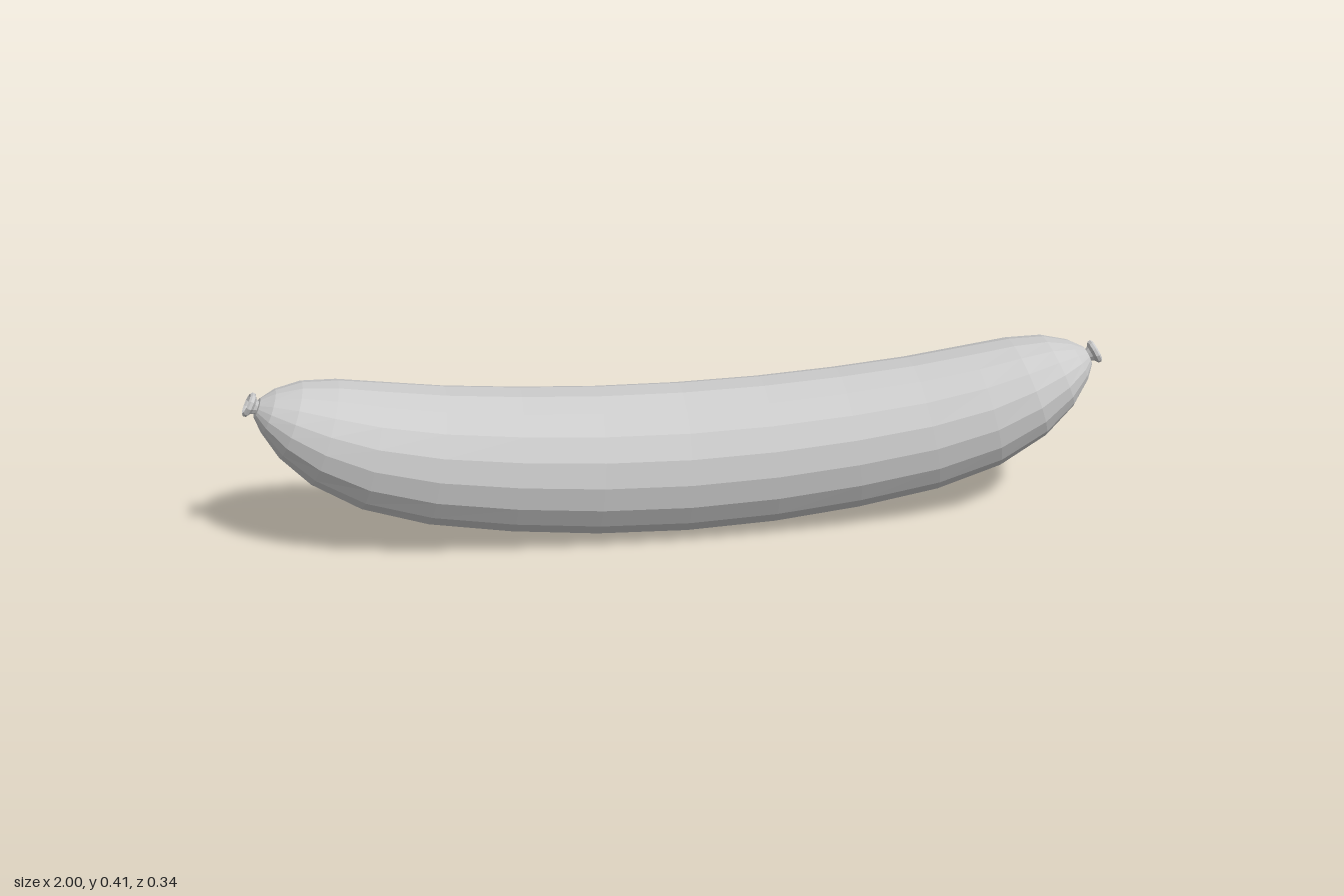
import * as THREE from 'three';

const SIDES = 18;

// Half of the casing, middle to tip: top x, top y, bottom x, bottom y, z centre, z radius
const HALF = [
  [0, 0.346, 0, 0.002, -0.003, 0.17],
  [0.19, 0.35, 0.21, 0.01, -0.002, 0.168],
  [0.37, 0.361, 0.41, 0.032, 0, 0.165],
  [0.54, 0.377, 0.6, 0.066, 0.003, 0.16],
  [0.68, 0.397, 0.75, 0.117, 0.006, 0.152],
  [0.78, 0.412, 0.86, 0.187, 0.009, 0.136],
  [0.86, 0.416, 0.925, 0.255, 0.011, 0.107],
  [0.92, 0.405, 0.96, 0.315, 0.013, 0.067],
  [0.955, 0.39, 0.973, 0.35, 0.015, 0.028],
  [0.965, 0.374, 0.965, 0.374, 0.015, 0],
];

// Curved body lofted through tilted oval sections
function bodyGeometry() {
  const mirrored = HALF.slice(1).reverse().map(([tx, ty, bx, by, z, r]) => [-tx, ty, -bx, by, z, r]);
  const rings = [...mirrored, ...HALF];
  const positions = [];
  const index = [];
  const fit = 1 / Math.cos(Math.PI / SIDES);
  rings.forEach(([tx, ty, bx, by, z, r], i) => {
    for (let j = 0; j < SIDES; j++) {
      const a = ((j + 0.5) / SIDES) * Math.PI * 2;
      const c = (Math.cos(a) * fit) / 2;
      positions.push((tx + bx) / 2 + (tx - bx) * c, (ty + by) / 2 + (ty - by) * c, z + r * Math.sin(a));
      if (i === rings.length - 1) continue;
      const p = i * SIDES + j;
      const q = i * SIDES + ((j + 1) % SIDES);
      index.push(p, q, p + SIDES, q, q + SIDES, p + SIDES);
    }
  });
  const geometry = new THREE.BufferGeometry();
  geometry.setAttribute('position', new THREE.Float32BufferAttribute(positions, 3));
  geometry.setIndex(index);
  geometry.computeVertexNormals();
  return geometry;
}

// Pinched casing end: narrow neck, flared rim and a shallow hollow
function knotGeometry() {
  const profile = [
    [0.02, -0.012], [0.014, 0.008], [0.019, 0.018], [0.028, 0.024],
    [0.029, 0.031], [0.024, 0.035], [0.019, 0.031], [0.013, 0.021], [0, 0.018],
  ].map(([r, y]) => new THREE.Vector2(r, y));
  return new THREE.LatheGeometry(profile, 10);
}

export function createModel() {
  const group = new THREE.Group();
  group.name = 'sausage';
  const material = new THREE.MeshStandardMaterial({
    color: 0xcccccc, flatShading: true, side: THREE.DoubleSide,
  });

  const body = new THREE.Mesh(bodyGeometry(), material);
  body.name = 'casing';
  group.add(body);

  // Knots at both ends, leaning outward and slightly up
  const knot = knotGeometry();
  for (const side of [1, -1]) {
    const mesh = new THREE.Mesh(knot, material);
    mesh.name = side > 0 ? 'leftKnot' : 'rightKnot';
    mesh.position.set(side * 0.956, 0.366, 0.016);
    mesh.rotation.z = -side * 1.08;
    group.add(mesh);
  }
  return group;
}
